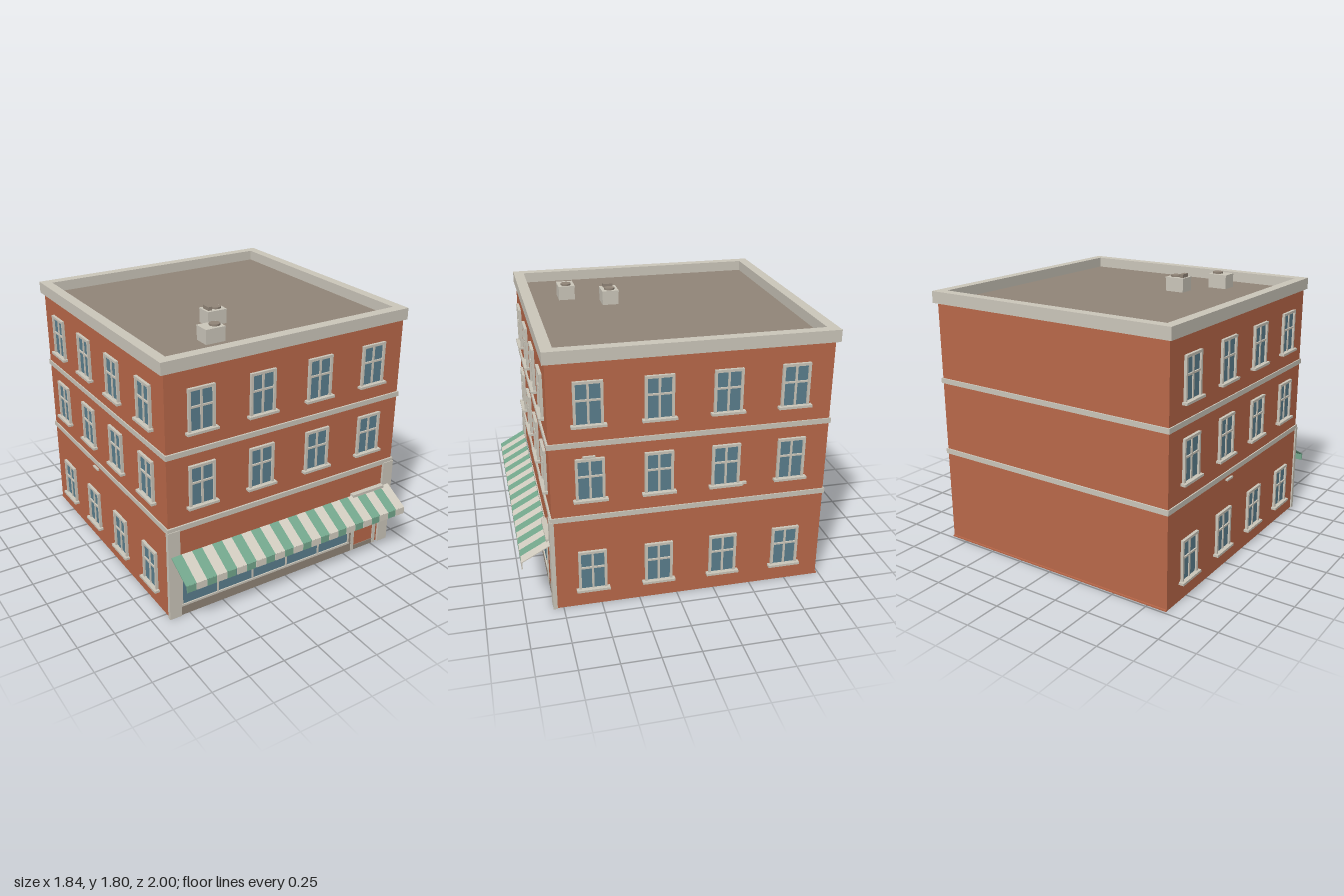
import * as THREE from 'three';

const mat = (name, color) => Object.assign(new THREE.MeshStandardMaterial({ color }), { name });

export function createModel() {
  const brick = mat('brick', 0xb96849);
  const stone = mat('stone', 0xcbc6ba);
  const glass = mat('glass', 0x5b7f8e);
  const roofing = mat('roofing', 0x918578);
  const green = mat('awningGreen', 0x74a88d);
  const cream = mat('awningCream', 0xd3cec1);

  const model = new THREE.Group();
  model.name = 'building';

  // box given by its low and high limits on each axis
  const box = (parent, name, m, x0, x1, y0, y1, z0, z1) => {
    const mesh = new THREE.Mesh(new THREE.BoxGeometry(x1 - x0, y1 - y0, z1 - z0), m);
    mesh.position.set((x0 + x1) / 2, (y0 + y1) / 2, (z0 + z1) / 2);
    mesh.name = name;
    parent.add(mesh);
    return mesh;
  };

  const W = 0.885, FRONT = 0.8, BACK = -0.975;

  // brick body, plinth lip and floor bands
  box(model, 'walls', brick, -W, W, 0, 1.676, BACK, FRONT);
  box(model, 'plinth', brick, -W, W, 0, 0.01, -0.985, BACK);
  for (const y of [0.63, 1.132]) box(model, 'floorBand', stone, -0.893, 0.893, y, y + 0.034, -0.985, 0.812);

  // parapet ring around the flat roof
  const ring = new THREE.Shape();
  const rect = (p, x0, x1, z0, z1) =>
    p.moveTo(x0, -z1).lineTo(x1, -z1).lineTo(x1, -z0).lineTo(x0, -z0).closePath();
  rect(ring, -0.907, 0.907, -1, 0.815);
  ring.holes.push(rect(new THREE.Path(), -0.838, 0.838, -0.93, 0.743));
  const parapet = new THREE.Mesh(new THREE.ExtrudeGeometry(ring, { depth: 0.078, bevelEnabled: false }), stone);
  parapet.rotation.x = -Math.PI / 2;
  parapet.position.y = 1.674;
  parapet.name = 'parapet';
  model.add(parapet);
  box(model, 'roofDeck', roofing, -0.84, 0.84, 1.675, 1.682, -0.932, 0.745);

  // rooftop ventilation units
  for (const [x, z, fan] of [[-0.39, 0.495, 0.025], [-0.21, 0.22, 0.02]]) {
    const unit = new THREE.Group();
    unit.name = 'roofUnit';
    unit.position.set(x, 0, z);
    model.add(unit);
    box(unit, 'unitBody', stone, -0.068, 0.068, 1.68, 1.768, -0.055, 0.055);
    box(unit, 'unitLid', stone, -0.07, 0.07, 1.768, 1.778, -0.057, 0.057);
    const disc = new THREE.Mesh(new THREE.CylinderGeometry(0.035, 0.035, 0.012, 20), roofing);
    disc.position.set(fan, 1.784, 0);
    disc.name = 'unitFan';
    unit.add(disc);
  }
  box(model, 'unitVent', roofing, -0.265, -0.237, 1.778, 1.802, 0.187, 0.255);

  // sash window; local origin at the wall surface, bottom centre, facing +z
  const addWindow = (x, y, z, turn) => {
    const g = new THREE.Group();
    g.name = 'window';
    g.position.set(x, y, z);
    g.rotation.y = turn;
    model.add(g);
    box(g, 'pane', glass, -0.08, 0.08, 0.01, 0.28, 0, 0.005);
    for (const s of [-1, 1]) box(g, 'jamb', stone, s * 0.083 - 0.008, s * 0.083 + 0.008, 0, 0.29, 0, 0.018);
    box(g, 'head', stone, -0.091, 0.091, 0.273, 0.29, 0, 0.019);
    box(g, 'mullion', stone, -0.007, 0.007, 0.01, 0.28, 0, 0.012);
    box(g, 'crossbar', stone, -0.08, 0.08, 0.163, 0.175, 0, 0.014);
    box(g, 'sill', stone, -0.108, 0.108, 0, 0.016, 0, 0.035);
  };
  const floors = [0.115, 0.765, 1.265];
  for (const y of floors.slice(1)) {
    for (const x of [-0.645, -0.215, 0.215, 0.645]) addWindow(x, y, FRONT, 0);
  }
  for (const y of floors) {
    for (const z of [0.555, 0.125, -0.303, -0.732]) {
      addWindow(W, y, z, Math.PI / 2);
      addWindow(-W, y, z, -Math.PI / 2);
    }
  }

  // small loose ledges on the side walls
  box(model, 'ledge', stone, W, 0.9, 1.056, 1.07, 0.52, 0.598);
  box(model, 'ledge', stone, W, 0.905, 0.767, 0.782, -0.442, -0.4);
  box(model, 'ledge', stone, -0.9, -W, 0.597, 0.61, -0.275, -0.2);

  // shopfront pilasters
  for (const s of [-1, 1]) box(model, 'pilaster', stone, s * 0.853 - 0.042, s * 0.853 + 0.042, 0, 0.64, 0.79, 0.817);

  // display window
  const shop = new THREE.Group();
  shop.name = 'shopfront';
  model.add(shop);
  box(shop, 'stallRiser', roofing, -0.811, 0.565, 0, 0.066, FRONT, 0.81);
  box(shop, 'displayGlass', glass, -0.8, 0.54, 0.07, 0.42, FRONT, 0.804);
  box(shop, 'displaySill', stone, -0.808, 0.548, 0.066, 0.08, FRONT, 0.813);
  box(shop, 'displayHead', stone, -0.808, 0.548, 0.405, 0.42, FRONT, 0.81);
  for (const x of [-0.802, -0.537, -0.268, 0.003, 0.273, 0.541]) {
    box(shop, 'displayMullion', stone, x - 0.006, x + 0.006, 0.07, 0.42, FRONT, 0.81);
  }
  box(shop, 'displayPost', roofing, 0.548, 0.565, 0.066, 0.42, FRONT, 0.808);
  for (const [x0, x1, y0, y1] of [[-0.64, -0.54, 0.272, 0.293], [-0.32, -0.218, 0.302, 0.322], [0.13, 0.272, 0.254, 0.275]]) {
    box(shop, 'hangingPlate', stone, x0, x1, y0, y1, 0.804, 0.81);
  }

  // door with frame and step
  box(shop, 'doorFrame', stone, 0.565, 0.59, 0, 0.42, FRONT, 0.813);
  box(shop, 'doorFrame', stone, 0.762, 0.787, 0, 0.42, FRONT, 0.813);
  box(shop, 'doorHead', stone, 0.59, 0.762, 0.4, 0.42, FRONT, 0.813);
  box(shop, 'door', brick, 0.59, 0.762, 0.035, 0.4, FRONT, 0.805);
  box(shop, 'doorStep', roofing, 0.59, 0.762, 0, 0.035, FRONT, 0.81);

  // striped awning: sloping strips with a hanging tab on each
  const awning = new THREE.Group();
  awning.name = 'awning';
  model.add(awning);
  const N = 24, X0 = -0.875, step = 1.74 / N, drop = 0.1, reach = 0.182;
  for (let i = 0; i < N; i++) {
    const m = i % 2 ? cream : green;
    const x = X0 + i * step;
    const strip = box(awning, 'awningStripe', m, x, x + step, 0, 0.006, 0, Math.hypot(drop, reach));
    strip.position.set(x + step / 2, 0.412, 0.906);
    strip.rotation.x = Math.atan2(drop, reach);
    const inset = i % 2 ? 0 : 0.005;
    box(awning, 'awningTab', m, x + inset, x + step - inset, 0.315, 0.364, 0.993, 1);
  }
  box(awning, 'awningBracket', stone, 0.54, 0.81, 0.452, 0.474, FRONT, 0.835);

  return model;
}
